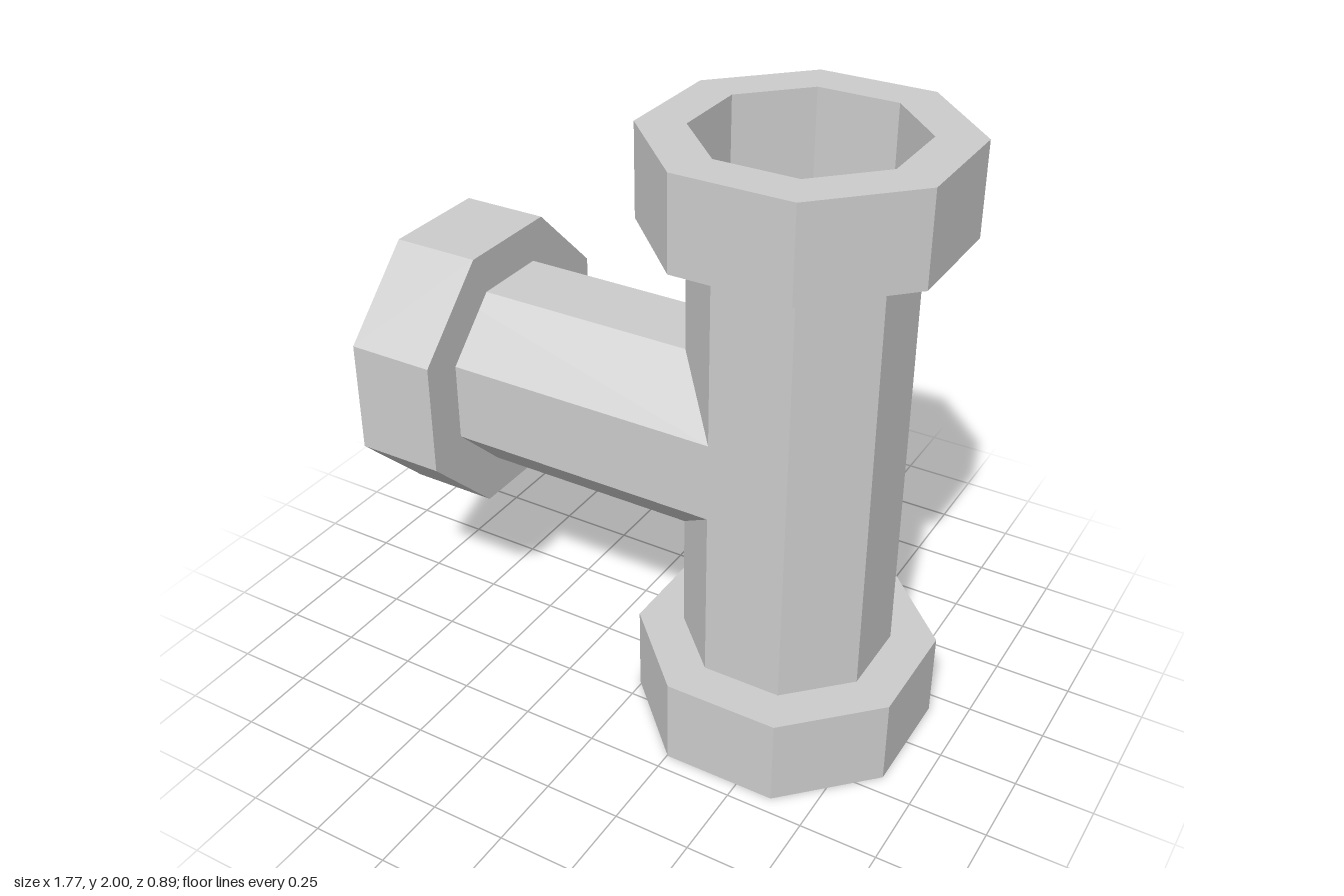
import * as THREE from 'three';

const APOTHEM = 0.31;        // pipe, centre to flat side
const COLLAR_APOTHEM = 0.445;
const COLLAR_LENGTH = 0.29;
const HEIGHT = 2;
const PIPE_X = 0.437;        // axis of the upright pipe
const BRANCH_Y = 0.986;      // axis of the side branch
const BRANCH_END = -0.885;

const toCorner = (apothem) => apothem / Math.cos(Math.PI / 8);

const material = new THREE.MeshStandardMaterial({
  color: 0xcccccc, flatShading: true, side: THREE.DoubleSide,
});

// Corners of the octagonal section, as [u, v] pairs
const section = Array.from({ length: 8 }, (_, i) => {
  const a = Math.PI / 8 + (i * Math.PI) / 4;
  const r = toCorner(APOTHEM);
  return [r * Math.cos(a), r * Math.sin(a)];
});

function quadMesh(name, quads) {
  const positions = quads.flatMap(([a, b, c, d]) => [a, b, c, a, c, d].flat());
  const geometry = new THREE.BufferGeometry();
  geometry.setAttribute('position', new THREE.Float32BufferAttribute(positions, 3));
  geometry.computeVertexNormals();
  const mesh = new THREE.Mesh(geometry, material);
  mesh.name = name;
  return mesh;
}

// Upright pipe: the three sides facing the branch are cut open along the mitre
function uprightPipe() {
  const quads = [];
  section.forEach((p, i) => {
    const q = section[(i + 1) % 8];
    const at = ([u, v], y) => [PIPE_X + u, y, v];
    const wall = (pLow, qLow, pHigh, qHigh) =>
      quads.push([at(q, qLow), at(p, pLow), at(p, pHigh), at(q, qHigh)]);
    if (Math.min(p[0], q[0]) > -APOTHEM + 0.01) {
      wall(0, 0, HEIGHT, HEIGHT);
    } else {
      wall(0, 0, BRANCH_Y + p[0], BRANCH_Y + q[0]);
      wall(BRANCH_Y - p[0], BRANCH_Y - q[0], HEIGHT, HEIGHT);
    }
  });
  return quadMesh('uprightPipe', quads);
}

// Side branch: each corner runs in until it meets the upright pipe
function branchPipe() {
  const quads = section.map((p, i) => {
    const q = section[(i + 1) % 8];
    const outer = ([u, v]) => [BRANCH_END, BRANCH_Y + u, v];
    const inner = ([u, v]) => [PIPE_X - Math.abs(u), BRANCH_Y + u, v];
    return [outer(p), outer(q), inner(q), inner(p)];
  });
  return quadMesh('branchPipe', quads);
}

// Collar ring; the pipe itself forms its bore
function collar(name) {
  const rIn = toCorner(APOTHEM);
  const rOut = toCorner(COLLAR_APOTHEM);
  const profile = [[rIn, 0], [rOut, 0], [rOut, COLLAR_LENGTH], [rIn, COLLAR_LENGTH]]
    .map(([r, y]) => new THREE.Vector2(r, y));
  const mesh = new THREE.Mesh(new THREE.LatheGeometry(profile, 8, Math.PI / 8), material);
  mesh.name = name;
  return mesh;
}

export function createModel() {
  const group = new THREE.Group();
  group.name = 'pipeTee';

  const bottom = collar('bottomCollar');
  bottom.position.set(PIPE_X, 0, 0);
  const top = collar('topCollar');
  top.position.set(PIPE_X, HEIGHT - COLLAR_LENGTH, 0);
  const side = collar('branchCollar');
  side.rotation.z = Math.PI / 2;
  side.position.set(BRANCH_END + COLLAR_LENGTH, BRANCH_Y, 0);

  group.add(uprightPipe(), branchPipe(), bottom, top, side);
  return group;
}
